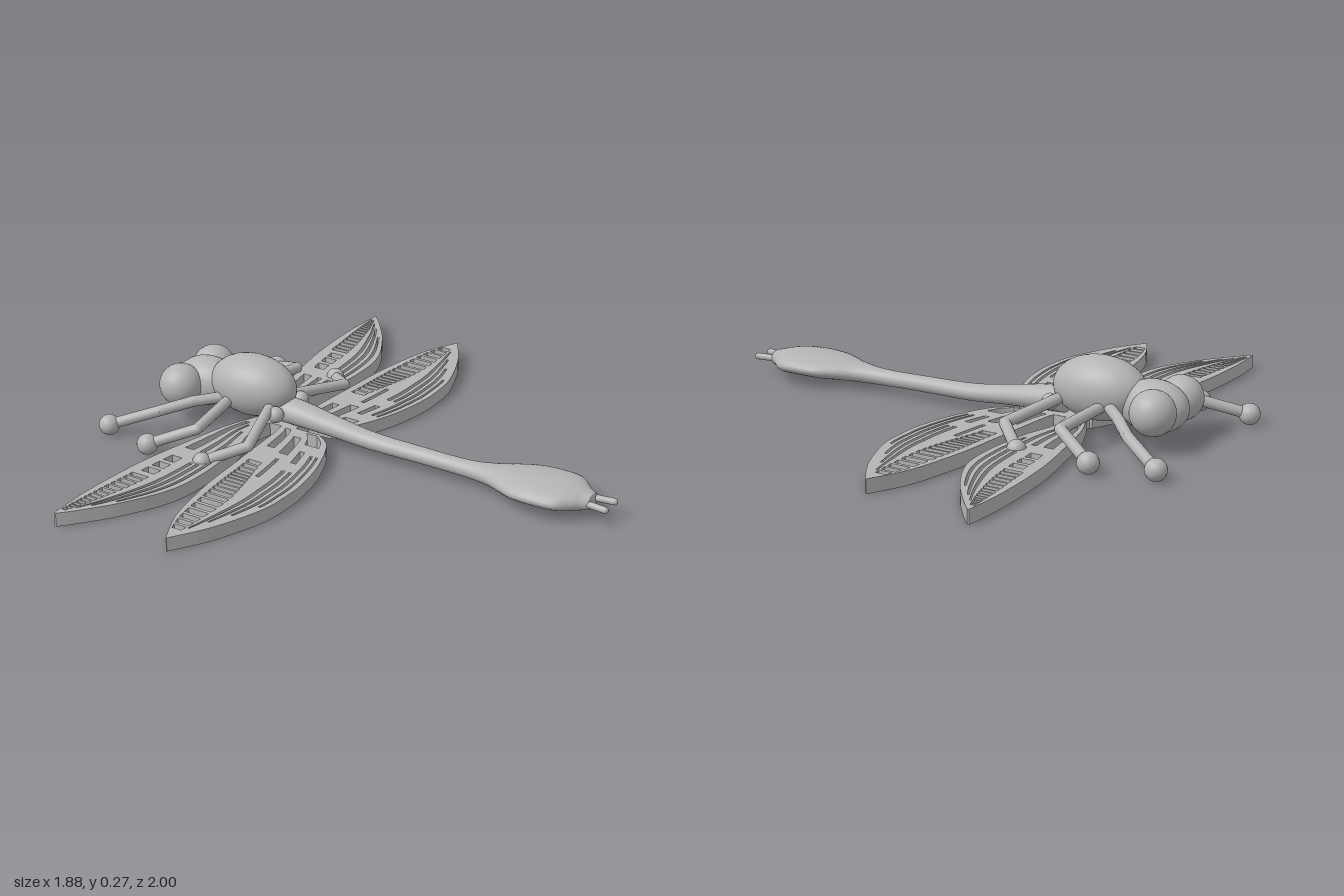
import * as THREE from 'three';
import { mergeVertices } from 'three/addons/utils/BufferGeometryUtils.js';

const V3 = (x, y, z) => new THREE.Vector3(x, y, z);
const grey = new THREE.MeshStandardMaterial({ color: 0xb4b4b4 });
grey.name = 'plain grey';

function add(parent, name, geometry, position) {
  const mesh = new THREE.Mesh(geometry, grey);
  mesh.name = name;
  if (position) mesh.position.copy(position);
  parent.add(mesh);
  return mesh;
}

function ellipsoid(parent, name, position, rx, ry, rz) {
  // poles lie along the body
  const g = new THREE.SphereGeometry(1, 32, 24).rotateZ(Math.PI / 2).scale(rx, ry, rz);
  return add(parent, name, g, position);
}

// Straight rods joined by round knuckles
function rod(parent, name, points, radius) {
  const group = new THREE.Group();
  group.name = name;
  points.forEach((p, i) => {
    add(group, name + 'Joint', new THREE.SphereGeometry(radius, 16, 12), p);
    if (i === 0) return;
    const dir = p.clone().sub(points[i - 1]);
    const mid = p.clone().add(points[i - 1]).multiplyScalar(0.5);
    const seg = add(group, name + 'Segment', new THREE.CylinderGeometry(radius, radius, dir.length(), 16), mid);
    seg.quaternion.setFromUnitVectors(V3(0, 1, 0), dir.normalize());
  });
  parent.add(group);
  return group;
}

// Wing: floor with openings, and a raised lattice of veins on top.
// sections: [distance from body, leading x, trailing x]; gaps: [u0, u1, t0, t1]
const FLOOR = 0.02, TOP = 0.05;
function wing(parent, name, sections, openings, recesses, side) {
  const lead = new THREE.SplineCurve(sections.map(s => new THREE.Vector2(s[1], s[0])));
  const trail = new THREE.SplineCurve(sections.map(s => new THREE.Vector2(s[2], s[0])));
  const at = (u, t) => {
    const p = lead.getPoint(t).lerp(trail.getPoint(t), u);
    p.y *= -side;
    return p;
  };
  // outline of a patch, always counter-clockwise so that walls face outward
  const patch = ([u0, u1, t0, t1]) => {
    const n = Math.max(2, Math.ceil((t1 - t0) * 40)), pts = [];
    for (let i = 0; i <= n; i++) pts.push(at(u0, t0 + (t1 - t0) * i / n));
    for (let i = n; i >= 0; i--) pts.push(at(u1, t0 + (t1 - t0) * i / n));
    return side > 0 ? pts : pts.reverse();
  };
  const layer = (gaps, y0, y1) => {
    const shape = new THREE.Shape(patch([0, 1, 0, 1]));
    shape.holes = gaps.map(g => new THREE.Path(patch(g).reverse()));
    return new THREE.ExtrudeGeometry(shape, { depth: y1 - y0, bevelEnabled: false })
      .rotateX(-Math.PI / 2).translate(0, y0, 0);
  };
  add(parent, name + 'Floor', layer(openings, 0, FLOOR));
  add(parent, name + 'Veins', layer([...openings, ...recesses], FLOOR, TOP));
}

// Row of narrow cells separated by cross bars, widening from u1 to u2
function ladder(u0, u1, u2, t0, t1, count) {
  const step = (t1 - t0) / count;
  return Array.from({ length: count }, (_, i) =>
    [u0, u1 + (u2 - u1) * i / count, t0 + i * step, t0 + (i + 0.68) * step]);
}

const foreSections = [
  [0.02, -0.47, -0.40], [0.15, -0.525, -0.42], [0.30, -0.56, -0.385], [0.50, -0.60, -0.37],
  [0.66, -0.618, -0.39], [0.82, -0.625, -0.47], [0.93, -0.622, -0.55], [1.0, -0.617, -0.61],
];
const foreOpenings = [
  [0.16, 0.34, 0.08, 0.34], [0.48, 0.57, 0.1, 0.34], [0.69, 0.77, 0.16, 0.34],
  ...ladder(0.2, 0.4, 0.45, 0.39, 0.53, 3),
];
const foreRecesses = [
  ...ladder(0.14, 0.44, 0.54, 0.54, 0.92, 15),
  [0.6, 0.66, 0.4, 0.86], [0.72, 0.78, 0.4, 0.8], [0.85, 0.9, 0.3, 0.72],
];

const hindSections = [
  [0.04, -0.36, -0.20], [0.10, -0.348, -0.13], [0.25, -0.337, -0.067], [0.40, -0.325, -0.037],
  [0.50, -0.318, -0.034], [0.62, -0.303, -0.047], [0.80, -0.265, -0.113], [0.94, -0.20, -0.197],
];
const hindOpenings = [
  [0.12, 0.24, 0.06, 0.25], [0.36, 0.5, 0.14, 0.27], [0.62, 0.88, 0.05, 0.18], [0.62, 0.7, 0.23, 0.31],
];
const hindRecesses = [
  ...ladder(0.1, 0.3, 0.58, 0.36, 0.93, 18),
  [0.4, 0.45, 0.31, 0.46], [0.62, 0.67, 0.37, 0.9], [0.72, 0.76, 0.37, 0.84],
  [0.81, 0.85, 0.24, 0.78], [0.9, 0.93, 0.24, 0.7],
];

// Tail: [x, centre height, half width, half height]
const tailSections = [
  [-0.38, 0.098, 0.055, 0.048], [-0.28, 0.09, 0.052, 0.044], [-0.15, 0.076, 0.043, 0.036],
  [0, 0.061, 0.037, 0.031], [0.2, 0.058, 0.033, 0.029], [0.38, 0.056, 0.034, 0.03],
  [0.48, 0.06, 0.055, 0.035], [0.55, 0.064, 0.09, 0.039], [0.61, 0.066, 0.118, 0.041],
  [0.69, 0.068, 0.127, 0.042], [0.77, 0.067, 0.118, 0.041], [0.815, 0.064, 0.08, 0.037],
  [0.84, 0.062, 0.055, 0.032], [0.865, 0.061, 0.038, 0.027],
];
function tailGeometry() {
  const axis = new THREE.SplineCurve(tailSections.map(s => new THREE.Vector2(s[0], s[1])));
  const size = new THREE.SplineCurve(tailSections.map(s => new THREE.Vector2(s[2], s[3])));
  let g = new THREE.CylinderGeometry(1, 1, 1, 28, 65);
  const p = g.attributes.position;
  for (let i = 0; i < p.count; i++) {
    const t = THREE.MathUtils.clamp(p.getY(i) + 0.5, 0, 1);
    const c = axis.getPoint(t), s = size.getPoint(t);
    p.setXYZ(i, c.x, c.y - s.y * p.getX(i), s.x * p.getZ(i));
  }
  g.deleteAttribute('uv');
  g.deleteAttribute('normal');
  g = mergeVertices(g);
  g.computeVertexNormals();
  return g;
}

// Legs: hip to foot as [x, y, z], with foot radius
const legs = {
  frontLeg: { foot: 0.038, path: [[-0.59, 0.12, 0.08], [-0.665, 0.115, 0.16], [-0.75, 0.092, 0.25], [-0.905, 0.038, 0.35]] },
  middleLeg: { foot: 0.038, path: [[-0.56, 0.12, 0.08], [-0.535, 0.1, 0.315], [-0.69, 0.038, 0.405]] },
  hindLeg: { foot: 0.033, path: [[-0.39, 0.12, 0.08], [-0.32, 0.085, 0.31], [-0.435, 0.045, 0.425]] },
};

export function createModel() {
  const model = new THREE.Group();
  model.name = 'dragonfly';

  // Body
  ellipsoid(model, 'thorax', V3(-0.51, 0.159, 0), 0.173, 0.113, 0.113);
  ellipsoid(model, 'head', V3(-0.715, 0.127, 0), 0.125, 0.092, 0.09);
  add(model, 'tail', tailGeometry());
  add(model, 'wingHub', new THREE.BoxGeometry(0.16, 0.05, 0.1), V3(-0.38, 0.025, 0));

  for (const side of [1, -1]) {
    const half = new THREE.Group();
    half.name = side > 0 ? 'frontSide' : 'backSide';
    model.add(half);

    ellipsoid(half, 'eye', V3(-0.763, 0.137, side * 0.103), 0.079, 0.079, 0.079);
    rod(half, 'tailProng', [V3(0.82, 0.062, side * 0.025), V3(0.87, 0.062, side * 0.029), V3(0.927, 0.062, side * 0.036)], 0.012);
    ellipsoid(half, 'hip', V3(-0.36, 0.105, side * 0.08), 0.03, 0.03, 0.03);

    wing(half, 'foreWing', foreSections, foreOpenings, foreRecesses, side);
    wing(half, 'hindWing', hindSections, hindOpenings, hindRecesses, side);

    for (const [name, { foot, path }] of Object.entries(legs)) {
      const points = path.map(([x, y, z]) => V3(x, y, side * z));
      const leg = rod(half, name, points, 0.02);
      add(leg, name + 'Foot', new THREE.SphereGeometry(foot, 20, 16), points[points.length - 1]);
    }
  }
  return model;
}
